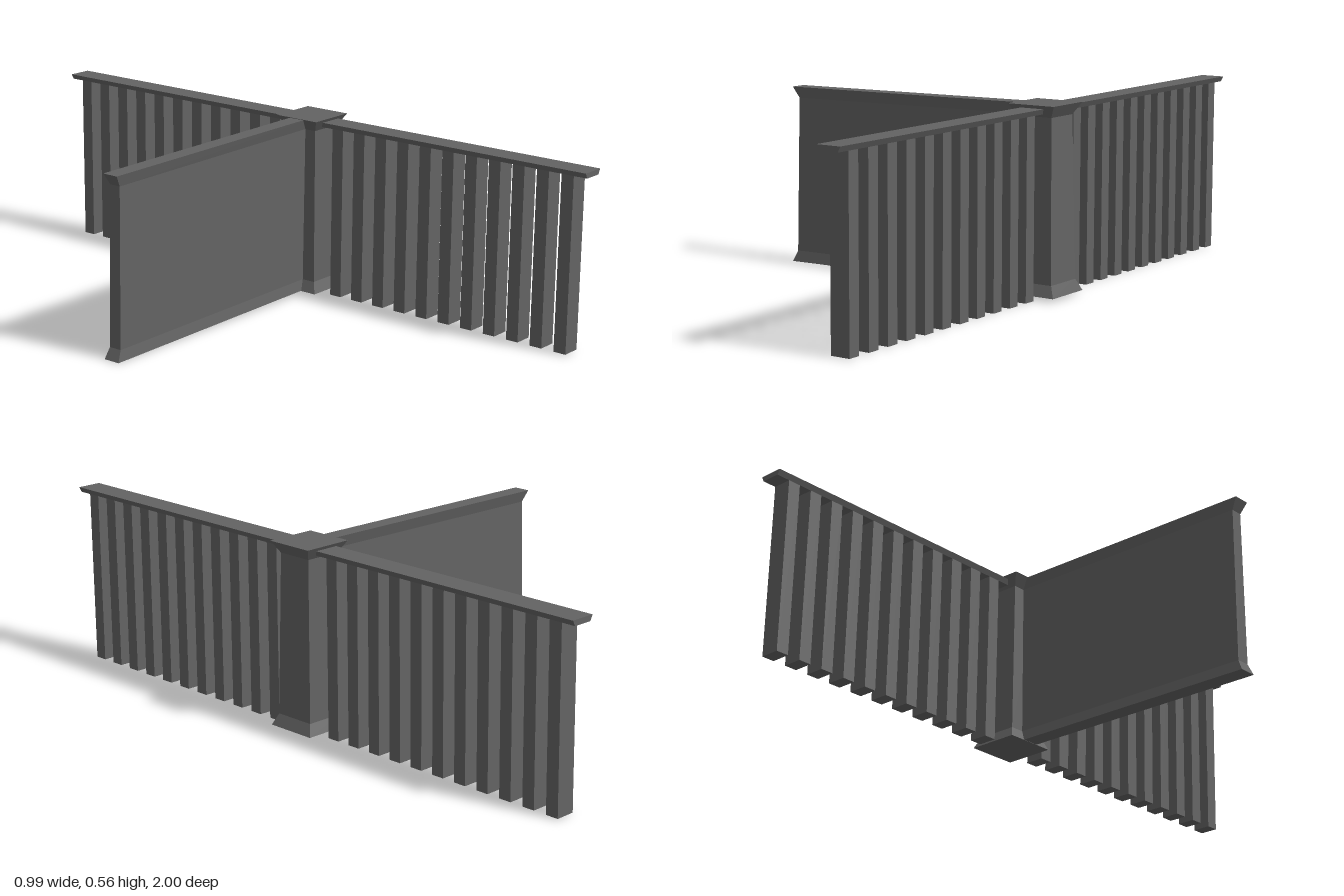
import * as THREE from 'three';

const material = new THREE.MeshStandardMaterial({ color: 0x636363, flatShading: true });

// Closed solid through rectangular sections, listed bottom to top.
// Each section is [y, x0, x1, halfZ, rise], where rise lifts the x1 side.
function stack(name, sections) {
  const corners = sections.map(([y, x0, x1, hz, rise = 0]) => [
    [x0, y, hz], [x1, y + rise, hz], [x1, y + rise, -hz], [x0, y, -hz],
  ]);
  const pos = [];
  const quad = (a, b, c, d) => pos.push(...a, ...b, ...c, ...a, ...c, ...d);
  for (let i = 0; i < corners.length - 1; i++) {
    const lo = corners[i], hi = corners[i + 1];
    for (let k = 0; k < 4; k++) {
      const n = (k + 1) % 4;
      quad(lo[k], lo[n], hi[n], hi[k]);
    }
  }
  const b = corners[0], t = corners[corners.length - 1];
  quad(b[3], b[2], b[1], b[0]);
  quad(t[0], t[1], t[2], t[3]);
  const geometry = new THREE.BufferGeometry();
  geometry.setAttribute('position', new THREE.Float32BufferAttribute(pos, 3));
  geometry.computeVertexNormals();
  const mesh = new THREE.Mesh(geometry, material);
  mesh.name = name;
  return mesh;
}

export function createModel() {
  const model = new THREE.Group();
  model.name = 'fenceJunction';
  const cx = 0.415;

  // Tapered post with flared foot and cap
  model.add(stack('post', [
    [0.011, 0.335, 0.496, 0.08],
    [0.045, 0.35, 0.48, 0.065],
    [0.525, 0.359, 0.47, 0.056],
    [0.56, 0.336, 0.491, 0.077],
  ]));

  // Solid wall panel, rising slightly toward the post
  model.add(stack('wallPanel', [
    [0.001, -0.497, cx, 0.027, 0.012],
    [0.035, -0.481, cx, 0.021, 0.011],
    [0.515, -0.472, cx, 0.018, 0.011],
    [0.549, -0.492, cx, 0.026, 0.01],
  ]));

  // Top rail, wider at the top
  model.add(stack('topRail', [
    [0.534, cx - 0.03, cx + 0.03, 1],
    [0.55, cx - 0.038, cx + 0.038, 1],
  ]));

  // Pickets, mirrored either side of the post
  const pickets = new THREE.Group();
  pickets.name = 'pickets';
  const picketGeometry = new THREE.BoxGeometry(0.06, 0.535, 0.04);
  for (const side of [1, -1]) {
    for (let i = 0; i < 11; i++) {
      const picket = new THREE.Mesh(picketGeometry, material);
      picket.name = 'picket';
      picket.position.set(cx, 0.2705, side * (0.123 + i * 0.0814));
      pickets.add(picket);
    }
  }
  model.add(pickets);
  return model;
}
